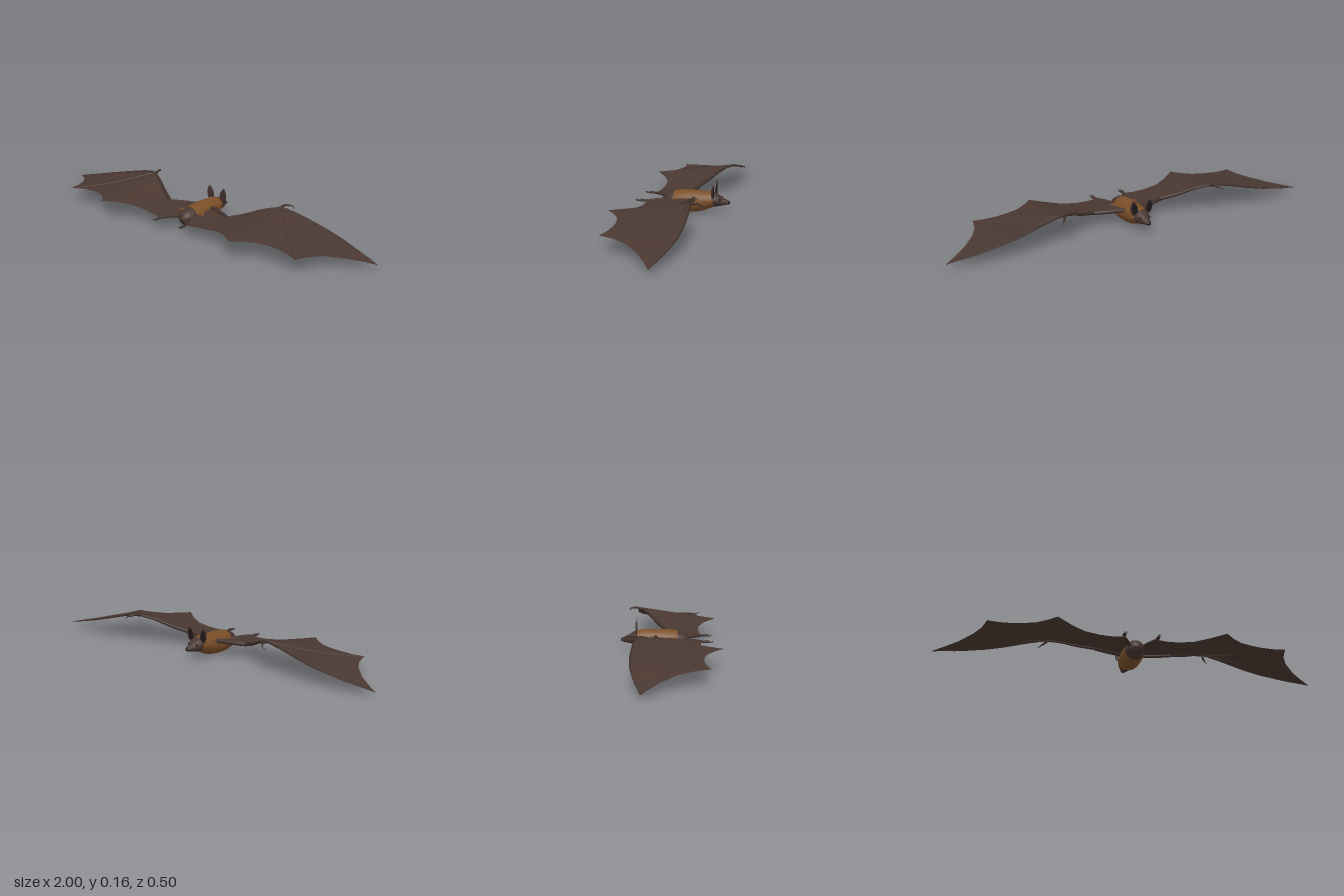
import * as THREE from 'three';

const mat = (name, color, side = THREE.FrontSide) => {
  const m = new THREE.MeshStandardMaterial({ color, side });
  m.name = name;
  return m;
};

// Wing stations: x, leading z, leading y, trailing z, trailing y
const WING = [
  [0, -0.12, 0.085, 0.03, 0.07], [0.05, -0.107, 0.085, 0.095, 0.07],
  [0.085, -0.09, 0.083, 0.165, 0.065], [0.14, -0.06, 0.08, 0.152, 0.066],
  [0.2, -0.03, 0.078, 0.148, 0.07], [0.28, -0.075, 0.105, 0.152, 0.08],
  [0.35, -0.115, 0.135, 0.187, 0.09], [0.425, -0.155, 0.156, 0.245, 0.097],
  [0.47, -0.164, 0.15, 0.203, 0.095], [0.52, -0.17, 0.14, 0.17, 0.092],
  [0.58, -0.176, 0.125, 0.153, 0.09], [0.64, -0.18, 0.109, 0.148, 0.086],
  [0.7, -0.18, 0.094, 0.157, 0.08], [0.755, -0.177, 0.08, 0.175, 0.075],
  [0.775, -0.174, 0.076, 0.1, 0.07], [0.81, -0.168, 0.067, 0.035, 0.064],
  [0.88, -0.155, 0.05, -0.04, 0.048], [0.94, -0.14, 0.037, -0.085, 0.036],
  [1, -0.125, 0.023, -0.124, 0.023],
];

// Body rings: z, top y, bottom y, half width
const BODY = [
  [0.1, 0.055, 0.055, 0], [0.098, 0.07, 0.042, 0.018], [0.085, 0.088, 0.026, 0.034],
  [0.065, 0.1, 0.014, 0.044], [0.035, 0.108, 0.006, 0.051], [0, 0.113, 0.001, 0.055],
  [-0.03, 0.115, 0, 0.055], [-0.08, 0.115, 0.004, 0.054], [-0.115, 0.114, 0.012, 0.052],
  [-0.15, 0.113, 0.027, 0.048], [-0.172, 0.108, 0.036, 0.042], [-0.19, 0.101, 0.039, 0.036],
  [-0.208, 0.089, 0.043, 0.028], [-0.23, 0.078, 0.048, 0.017], [-0.246, 0.07, 0.051, 0.012],
  [-0.252, 0.065, 0.055, 0.007], [-0.254, 0.06, 0.06, 0],
];

function indexed(positions, index) {
  const g = new THREE.BufferGeometry();
  g.setAttribute('position', new THREE.Float32BufferAttribute(positions, 3));
  g.setIndex(index);
  g.computeVertexNormals();
  return g;
}

// Elliptical rings joined along z; ring ranges become material groups
function bodyGeometry(ranges) {
  const n = 24, pos = [], idx = [];
  BODY.forEach(([z, top, bottom, w]) => {
    for (let j = 0; j < n; j++) {
      const a = (j / n) * Math.PI * 2;
      pos.push(w * Math.cos(a), (top + bottom) / 2 + ((top - bottom) / 2) * Math.sin(a), z);
    }
  });
  for (let i = 0; i < BODY.length - 1; i++)
    for (let j = 0; j < n; j++) {
      const a = i * n + j, b = i * n + ((j + 1) % n);
      idx.push(a, a + n, b, b, a + n, b + n);
    }
  const g = indexed(pos, idx);
  ranges.forEach(([from, to, m]) => g.addGroup(from * n * 6, (to - from) * n * 6, m));
  return g;
}

// Membrane grid between the leading and trailing edges
function wingGeometry(s) {
  const n = 6, pos = [], idx = [];
  WING.forEach(([x, zl, yl, zt, yt], i) => {
    for (let j = 0; j <= n; j++) {
      const t = j / n;
      pos.push(s * x, yl + (yt - yl) * t, zl + (zt - zl) * t);
      if (i < WING.length - 1 && j < n) {
        const a = i * (n + 1) + j, b = a + n + 1;
        idx.push(...(s > 0 ? [a, a + 1, b, b, a + 1, b + 1] : [a, b, a + 1, b, b + 1, a + 1]));
      }
    }
  });
  return indexed(pos, idx);
}

// Membrane height at a given x and z
function wingY(x, z) {
  const k = Math.max(1, WING.findIndex((w) => w[0] >= x));
  const p = WING[k - 1], q = WING[k], f = (x - p[0]) / (q[0] - p[0]);
  const [, zl, yl, zt, yt] = p.map((v, i) => v + (q[i] - v) * f);
  return yl + (yt - yl) * THREE.MathUtils.clamp((z - zl) / (zt - zl || 1), 0, 1);
}

// Tube that tapers from r0 to r1
function taper(points, r0, r1, seg = 14, sides = 8) {
  const curve = new THREE.CatmullRomCurve3(points.map((p) => new THREE.Vector3(...p)));
  const g = new THREE.TubeGeometry(curve, seg, 1, sides);
  const p = g.attributes.position, v = new THREE.Vector3();
  for (let i = 0; i < p.count; i++) {
    const t = Math.floor(i / (sides + 1)) / seg, c = curve.getPointAt(t);
    v.fromBufferAttribute(p, i).sub(c).multiplyScalar(r0 + (r1 - r0) * t).add(c);
    p.setXYZ(i, v.x, v.y, v.z);
  }
  return g;
}

export function createModel() {
  const fur = mat('golden fur', 0x7a4f28);
  const darkFur = mat('dark fur', 0x46342f);
  const skin = mat('wing membrane', 0x4a3831, THREE.DoubleSide);
  const bone = mat('limb skin', 0x40302b);
  const black = mat('ear and eye black', 0x1e1817);
  const furPlate = mat('thin golden fur', 0x7a4f28, THREE.DoubleSide);

  const model = new THREE.Group();
  model.name = 'bat';
  const add = (parent, name, geo, m) => {
    const mesh = new THREE.Mesh(geo, m);
    mesh.name = name;
    parent.add(mesh);
    return mesh;
  };

  // Rump, golden torso, head and nose tip
  add(model, 'body', bodyGeometry([[0, 4, 0], [4, 10, 1], [10, 14, 0], [14, 16, 2]]),
    [darkFur, fur, black]);

  for (const s of [1, -1]) {
    const side = s > 0 ? 'left' : 'right';
    const wing = new THREE.Group();
    wing.name = side + 'Wing';
    model.add(wing);
    const mx = (pts) => pts.map(([x, y, z]) => [s * x, y, z]);

    add(wing, 'membrane', wingGeometry(s), skin);

    // Arm bones and the leading finger
    add(wing, 'upperArm', taper(mx([[0.03, 0.08, -0.08], [0.12, 0.079, -0.058], [0.2, 0.076, -0.026]]), 0.012, 0.01), bone);
    add(wing, 'forearm', taper(mx([[0.195, 0.077, -0.026], [0.28, 0.105, -0.073], [0.35, 0.134, -0.113], [0.425, 0.154, -0.152]]), 0.01, 0.006), bone);
    add(wing, 'leadingFinger', taper(mx(WING.slice(7).map(([x, z, y]) => [x, y, z])), 0.005, 0.0015, 30, 6), bone);

    // Fingers lying along the membrane
    for (const [x, z] of [[0.755, 0.175], [0.425, 0.245], [0.62, -0.12]]) {
      const pts = [];
      for (let i = 0; i <= 8; i++) {
        const t = i / 8, px = 0.425 + (x - 0.425) * t, pz = -0.152 + (z + 0.152) * t;
        pts.push([px, wingY(px, pz), pz]);
      }
      add(wing, 'finger', taper(mx(pts), 0.004, 0.0015, 24, 6), skin);
    }

    // Hooked thumb
    add(wing, 'thumb', taper(mx([[0.42, 0.152, -0.15], [0.427, 0.159, -0.185], [0.437, 0.156, -0.205]]), 0.007, 0.005), bone);
    add(wing, 'thumbClaw', taper(mx([[0.436, 0.156, -0.203], [0.447, 0.153, -0.218], [0.457, 0.146, -0.224], [0.463, 0.139, -0.216]]), 0.005, 0.001), bone);

    // Golden fur flare on the shoulder membrane
    const flare = [[0.04, -0.04], [0.05, 0.03], [0.082, 0.032]]
      .flatMap(([x, z]) => [s * x, wingY(x, z) + 0.004, z]);
    add(wing, 'furFlare', indexed(flare, s > 0 ? [0, 1, 2] : [0, 2, 1]), furPlate);

    // Leg, foot and toes
    const leg = new THREE.Group();
    leg.name = side + 'Leg';
    model.add(leg);
    add(leg, 'shin', taper(mx([[0.025, 0.06, 0.06], [0.05, 0.066, 0.105], [0.085, 0.066, 0.168]]), 0.009, 0.006), bone);
    const foot = add(leg, 'foot', new THREE.SphereGeometry(1, 12, 8), bone);
    foot.scale.set(0.01, 0.007, 0.018);
    foot.position.set(s * 0.085, 0.066, 0.183);
    for (const d of [-0.006, 0, 0.006])
      add(leg, 'toe', taper(mx([[0.085 + d * 0.7, 0.066, 0.19], [0.085 + d, 0.063, 0.205], [0.085 + d * 1.2, 0.07, 0.217]]), 0.003, 0.001, 8, 5), bone);

    // Leaf-shaped ear with a dark hollow on the front
    const ear = new THREE.Group();
    ear.name = side + 'Ear';
    ear.position.set(s * 0.037, 0.093, -0.174);
    ear.rotation.z = -s * 0.16;
    model.add(ear);
    const leaf = new THREE.Shape();
    leaf.moveTo(-0.012, -0.005);
    leaf.bezierCurveTo(-0.024, 0.02, -0.02, 0.045, 0, 0.07);
    leaf.bezierCurveTo(0.026, 0.045, 0.026, 0.018, 0.012, -0.005);
    const shell = new THREE.ExtrudeGeometry(leaf, { depth: 0.004, bevelSize: 0.001, bevelThickness: 0.001, bevelSegments: 1, curveSegments: 10 });
    add(ear, 'earShell', shell, bone);
    const hollow = add(ear, 'earHollow', new THREE.ShapeGeometry(leaf, 10), black);
    hollow.scale.set(0.75, 0.82, 1);
    hollow.rotation.y = Math.PI;
    hollow.position.set(0, 0.003, -0.0018);

    // Eye
    const eye = add(model, side + 'Eye', new THREE.SphereGeometry(0.006, 12, 8), black);
    eye.position.set(s * 0.025, 0.079, -0.205);
  }
  return model;
}
